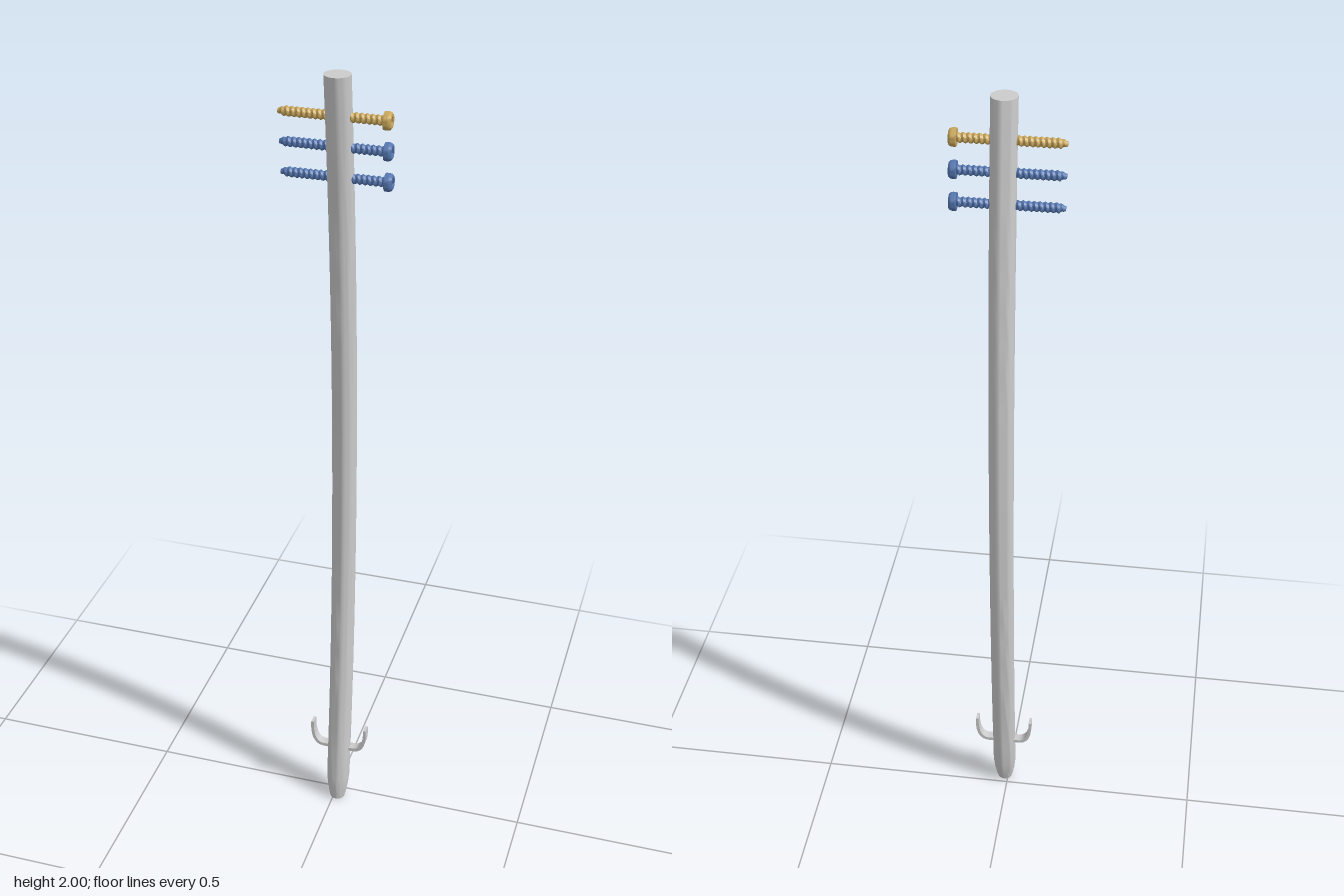
import * as THREE from 'three';
import { toCreasedNormals } from 'three/addons/utils/BufferGeometryUtils.js';

const CX = 0.009; // rod axis in x
const bowZ = (y) => -0.03 + 0.06 * (y - 1) ** 2; // backward bow of the rod

const grey = new THREE.MeshStandardMaterial({ color: 0xcccccc });
const gold = new THREE.MeshStandardMaterial({ color: 0xc9a75c });
const blue = new THREE.MeshStandardMaterial({ color: 0x5577b0 });

function part(geometry, material, name) {
  const mesh = new THREE.Mesh(geometry, material);
  mesh.name = name;
  return mesh;
}

// Move every vertex by a rule
function reshape(geometry, rule) {
  const p = geometry.attributes.position;
  const v = new THREE.Vector3();
  for (let i = 0; i < p.count; i++) {
    v.fromBufferAttribute(p, i);
    rule(v);
    p.setXYZ(i, v.x, v.y, v.z);
  }
  return toCreasedNormals(geometry, 0.6);
}

const lathe = (pairs, sides) =>
  new THREE.LatheGeometry(pairs.map(([r, y]) => new THREE.Vector2(r, y)), sides);

// Bowed rod with a tapered lower tip
function makeRod() {
  const profile = [[0, 0], [0.019, 0], [0.022, 0.012], [0.027, 0.04], [0.03, 0.07]];
  for (let i = 1; i <= 24; i++) profile.push([0.03, 0.07 + (1.93 * i) / 24]);
  profile.push([0, 2]);
  const geometry = reshape(lathe(profile, 32), (v) => {
    v.x += CX;
    v.z += bowZ(v.y);
  });
  return part(geometry, grey, 'rod');
}

// Screw along its own y axis: threaded shank, pointed end down, socket head up
function makeScrew(material, name) {
  const screw = new THREE.Group();
  screw.name = name;
  const start = -0.128, end = 0.113, pitch = 0.012;
  const shank = new THREE.CylinderGeometry(1, 1, end - start, 20, 120);
  shank.translate(0, (start + end) / 2, 0);
  screw.add(part(reshape(shank, (v) => {
    const turn = v.y / pitch + Math.atan2(v.z, v.x) / (2 * Math.PI);
    const ridge = 1 - Math.abs(2 * (turn - Math.floor(turn)) - 1);
    const taper = Math.min(1, 0.5 + (v.y - start) / 0.03);
    const r = (0.0088 + 0.0035 * ridge) * taper;
    v.x *= r;
    v.z *= r;
  }), material, 'threadedShank'));

  // Rounded head with a hexagonal recess
  const head = lathe([
    [0, 0.110], [0.02, 0.110], [0.0205, 0.113], [0.0205, 0.119], [0.019, 0.124],
    [0.016, 0.127], [0.011, 0.127], [0.0105, 0.117], [0, 0.117],
  ], 24);
  screw.add(part(reshape(head, (v) => {
    const r = Math.hypot(v.x, v.z);
    if (r < 0.0115 && r > 0.001) {
      const sector = Math.PI / 3;
      const a = Math.atan2(v.z, v.x) + 2 * Math.PI + 1e-6;
      const hex = Math.cos(sector / 2) / Math.cos((a % sector) - sector / 2);
      v.x *= hex;
      v.z *= hex;
    }
  }), material, 'screwHead'));
  screw.rotation.z = -Math.PI / 2; // head towards +x
  return screw;
}

// Flat strip that leaves the rod sideways and curls upwards
function makeHook(side) {
  const shape = new THREE.Shape();
  shape.moveTo(0, 0.155);
  shape.lineTo(0.04, 0.155);
  shape.bezierCurveTo(0.064, 0.155, 0.078, 0.178, 0.075, 0.23);
  shape.lineTo(0.068, 0.23);
  shape.bezierCurveTo(0.069, 0.187, 0.06, 0.164, 0.04, 0.164);
  shape.lineTo(0, 0.164);
  shape.closePath();
  const width = 0.023;
  const geometry = new THREE.ExtrudeGeometry(shape, {
    depth: width, bevelEnabled: false, curveSegments: 14,
  });
  geometry.translate(0, 0, -width / 2);
  if (side < 0) geometry.rotateY(Math.PI);
  const hook = part(toCreasedNormals(geometry, 0.6), grey, side > 0 ? 'leftHook' : 'rightHook');
  hook.position.set(CX, 0, bowZ(0.17));
  return hook;
}

export function createModel() {
  const model = new THREE.Group();
  model.name = 'lockingNail';
  model.add(makeRod());

  // Cross screws near the top
  const screws = [
    [1.905, gold, 'upperScrew'],
    [1.834, blue, 'middleScrew'],
    [1.762, blue, 'lowerScrew'],
  ];
  for (const [y, material, name] of screws) {
    const screw = makeScrew(material, name);
    screw.position.set(0, y, bowZ(y));
    model.add(screw);
  }

  // Pair of hooks near the tip
  for (const side of [1, -1]) model.add(makeHook(side));
  return model;
}
